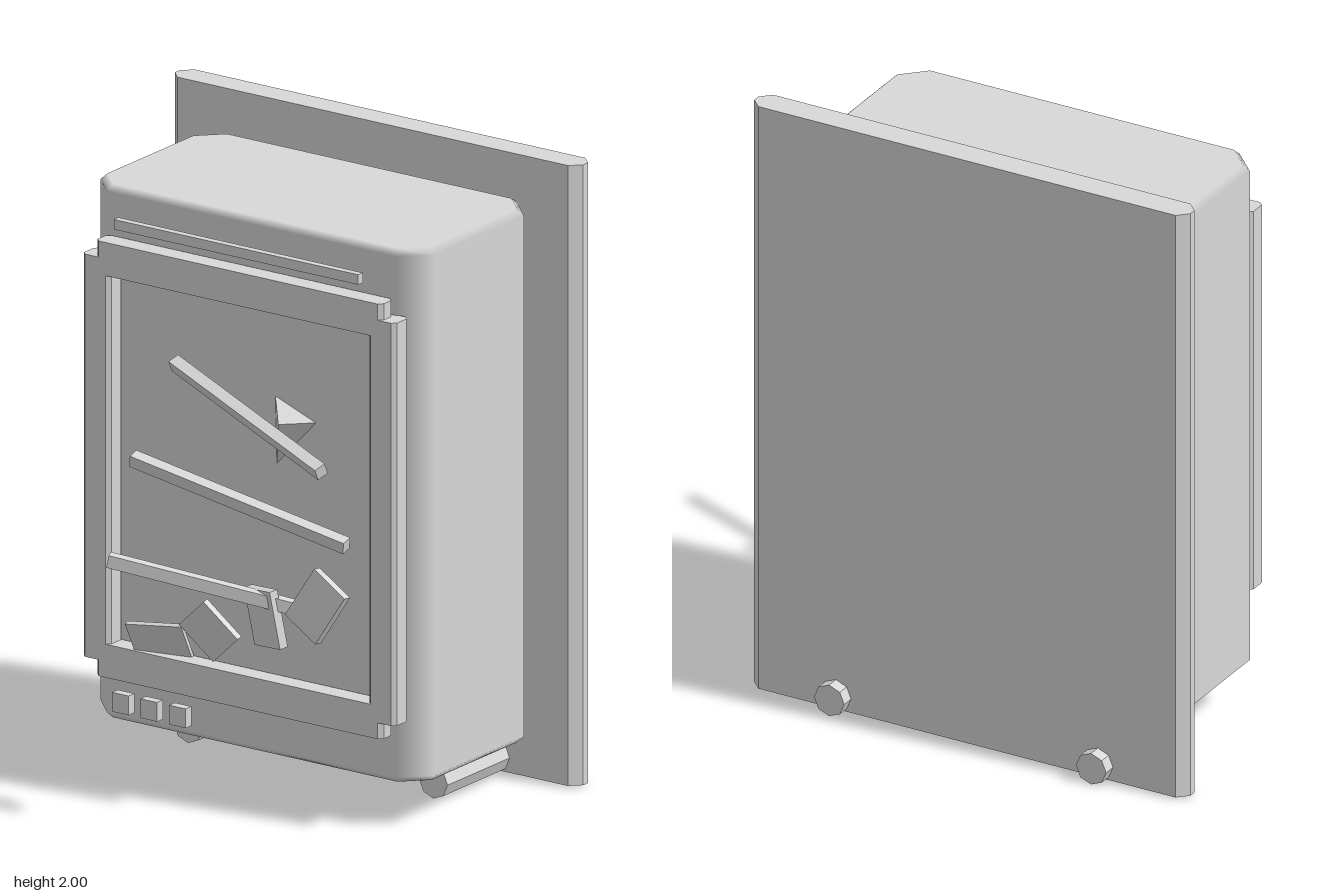
import * as THREE from 'three';

export function createModel() {
  const group = new THREE.Group();
  const grey = new THREE.MeshStandardMaterial({ color: 0xd8d8d8 });
  grey.name = 'grey';

  function add(name, geometry, x, y, z, rx = 0, ry = 0, rz = 0) {
    const mesh = new THREE.Mesh(geometry, grey);
    mesh.name = name;
    mesh.position.set(x, y, z);
    mesh.rotation.set(rx, ry, rz);
    group.add(mesh);
    return mesh;
  }

  // Upright bar with its vertical edges cut by c, and its ends bevelled by b
  function cutBar(w, h, d, c, b = 0) {
    const x = w / 2, z = d / 2;
    const shape = new THREE.Shape([
      [x, c - z], [x, z - c], [x - c, z], [c - x, z],
      [-x, z - c], [-x, c - z], [c - x, -z], [x - c, -z],
    ].map(([px, py]) => new THREE.Vector2(px, py)));
    const geometry = new THREE.ExtrudeGeometry(shape, {
      depth: h - 2 * b, bevelEnabled: b > 0, bevelSegments: 1,
      bevelSize: b, bevelThickness: b, bevelOffset: -b,
    });
    geometry.translate(0, 0, b - h / 2);
    geometry.rotateX(-Math.PI / 2);
    return geometry;
  }

  // Keeps the large faces flat and blends the cut edges softly between them
  function softenEdges(geometry, w, h) {
    const { position, normal } = geometry.attributes;
    for (let i = 0; i < position.count; i++) {
      const x = position.getX(i), y = position.getY(i), z = position.getZ(i);
      if (Math.abs(y) > h / 2 - 0.001) normal.setXYZ(i, 0, Math.sign(y), 0);
      else if (Math.abs(x) > w / 2 - 0.001) normal.setXYZ(i, Math.sign(x), 0, 0);
      else normal.setXYZ(i, 0, 0, Math.sign(z));
    }
    return geometry;
  }

  // Wall panel and cabinet
  add('backPanel', cutBar(1.532, 1.992, 0.091, 0.033), 0, 1.004, -0.479);
  const cabinet = cutBar(1.254, 1.713, 0.635, 0.085, 0.02);
  add('cabinet', softenEdges(cabinet, 1.254, 1.713), 0, 1.005, -0.1175);

  // Feet running under the cabinet
  for (const side of [-1, 1]) {
    const foot = new THREE.CylinderGeometry(0.053, 0.053, 0.457, 8).toNonIndexed();
    foot.computeVertexNormals();
    foot.rotateX(Math.PI / 2);
    add('foot', foot, side * 0.46, 0.055, -0.338);
  }

  // Door frame
  for (const side of [-1, 1]) {
    add('framePost', cutBar(0.103, 1.293, 0.076, 0.013), side * 0.536, 1.006, 0.232);
    add('frameRail', cutBar(1.074, 0.107, 0.066, 0.014), 0, 1.006 + side * 0.645, 0.237);
  }

  // Slot above the door and buttons below it
  add('slotBar', new THREE.BoxGeometry(0.917, 0.032, 0.024), 0, 1.773, 0.269);
  for (let i = 0; i < 3; i++) {
    add('button', new THREE.BoxGeometry(0.062, 0.062, 0.03), -0.431 + i * 0.107, 0.24, 0.27);
  }

  // Fallen shelves, each stretched between two end points and rolled forward
  const shelves = [
    [[-0.205, 1.387, 0.315], [0.51, 1.237, 0.545], 0.45],
    [[-0.3, 1.085, 0.402], [0.45, 0.93, 0.33], 0.25],
    [[-0.333, 0.775, 0.483], [0.325, 0.62, 0.16], 0],
  ];
  for (const [from, to, roll] of shelves) {
    const a = new THREE.Vector3(...from), b = new THREE.Vector3(...to);
    const along = b.clone().sub(a);
    const length = along.length();
    along.normalize();
    const out = new THREE.Vector3().crossVectors(along, new THREE.Vector3(0, 1, 0)).normalize();
    const up = new THREE.Vector3().crossVectors(out, along);
    const shelf = add('shelf', new THREE.BoxGeometry(length, 0.04, 0.038), 0, 0, 0);
    shelf.position.copy(a).add(b).multiplyScalar(0.5);
    shelf.quaternion.setFromRotationMatrix(new THREE.Matrix4().makeBasis(along, up, out));
    shelf.rotateX(roll);
  }

  // Tumbled boxes: size, then position and rotation
  const boxes = [
    [0.19, 0.14, 0.015, -0.305, 0.458, 0.254, 0.46, 0.2, 0],
    [0.155, 0.155, 0.02, -0.11, 0.532, 0.263, 0.28, 0, -0.82],
    [0.13, 0.185, 0.03, 0.09, 0.61, 0.25, 0.12, -0.28, 0.17],
    [0.14, 0.185, 0.03, 0.288, 0.685, 0.256, -0.14, 0, -0.53],
    [0.12, 0.2, 0.12, 0.134, 1.194, 0.156, 0.676, 0.594, -0.398],
  ];
  for (const [w, h, d, ...place] of boxes) {
    add('looseBox', new THREE.BoxGeometry(w, h, d), ...place);
  }

  return group;
}
